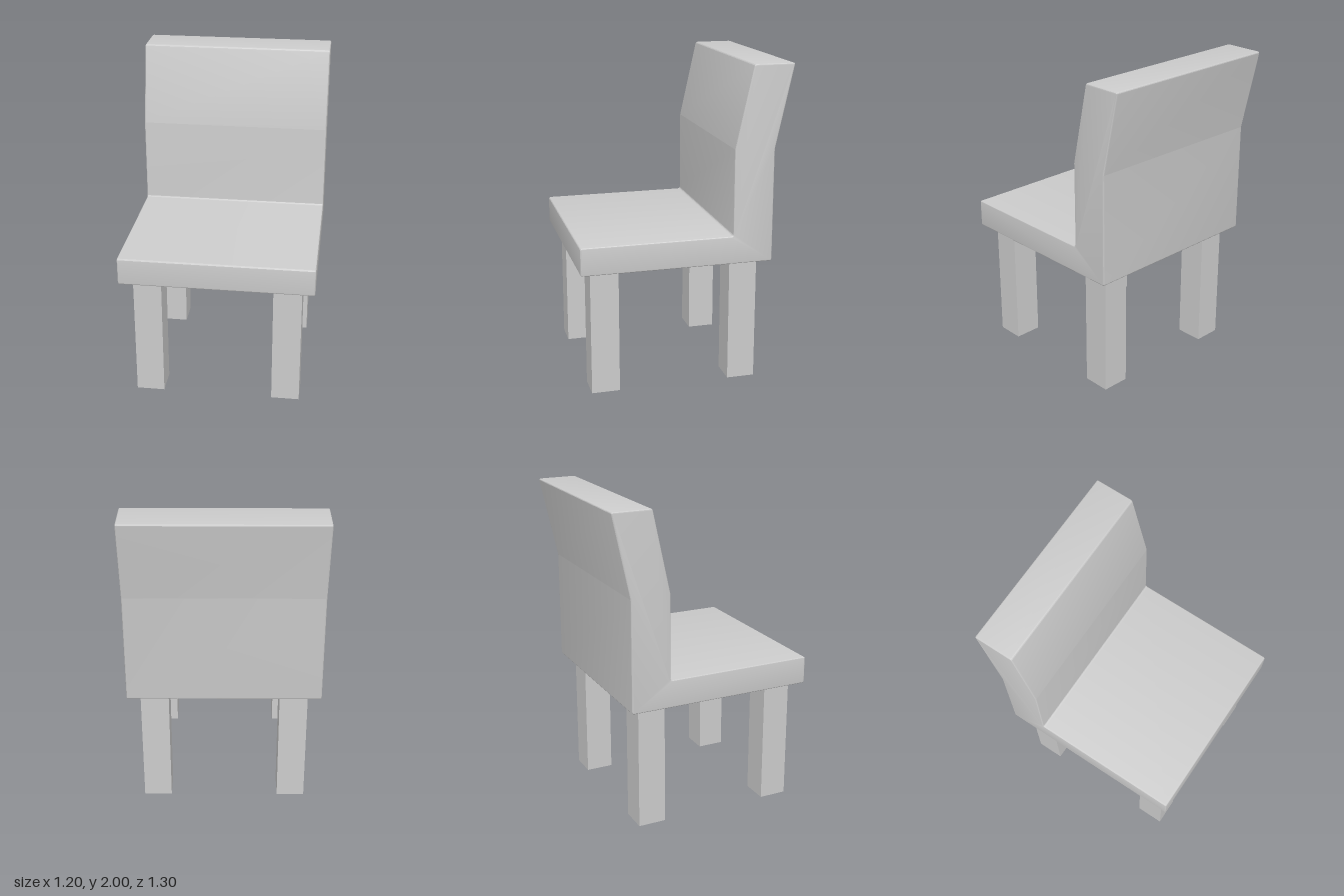
import * as THREE from 'three';
import { toCreasedNormals } from 'three/addons/utils/BufferGeometryUtils.js';

const WIDTH = 1.2, BEVEL = 0.01;

// Closed outline from [x, y, cornerRadius] points; radius 0 keeps the corner sharp
function roundedOutline(points) {
  const shape = new THREE.Shape();
  const n = points.length;
  points.forEach(([x, y, r], i) => {
    const corner = new THREE.Vector2(x, y);
    const toward = (p) => new THREE.Vector2(p[0], p[1]).sub(corner).setLength(r).add(corner);
    const a = toward(points[(i + n - 1) % n]);
    const b = toward(points[(i + 1) % n]);
    if (i === 0) shape.moveTo(a.x, a.y);
    else shape.lineTo(a.x, a.y);
    if (r > 0) shape.quadraticCurveTo(x, y, b.x, b.y);
  });
  shape.closePath();
  return shape;
}

export function createModel() {
  const chair = new THREE.Group();
  chair.name = 'chair';
  const material = new THREE.MeshStandardMaterial({ color: 0xcccccc });

  // Seat and backrest: one side profile (z, y) swept across the width
  const r = 0.015;
  const profile = roundedOutline([
    [0.65, 0.79, r], [0.65, 0.965, r], [-0.29, 0.965, r], [-0.29, 1.5, 0],
    [-0.4, 2, r], [-0.652, 2, r], [-0.54, 1.49, 0], [-0.54, 0.79, r],
  ]);
  const body = new THREE.ExtrudeGeometry(profile, {
    depth: WIDTH - 2 * BEVEL, curveSegments: 4,
    bevelEnabled: true, bevelThickness: BEVEL, bevelSize: BEVEL,
    bevelOffset: -BEVEL, bevelSegments: 3,
  });
  body.translate(0, 0, -(WIDTH - 2 * BEVEL) / 2);
  body.rotateY(-Math.PI / 2);
  // The gentle bend in the back shades smoothly, other edges stay crisp
  const seat = new THREE.Mesh(toCreasedNormals(body, 0.3), material);
  seat.name = 'seatAndBackrest';
  chair.add(seat);

  // Four square legs
  const legGeometry = new THREE.BoxGeometry(0.175, 0.8, 0.175);
  for (const [sideName, x] of [['Left', 0.4325], ['Right', -0.4325]]) {
    for (const [endName, z] of [['front', 0.493], ['back', -0.38]]) {
      const leg = new THREE.Mesh(legGeometry, material);
      leg.name = `${endName}${sideName}Leg`;
      leg.position.set(x, 0.4, z);
      chair.add(leg);
    }
  }
  return chair;
}
